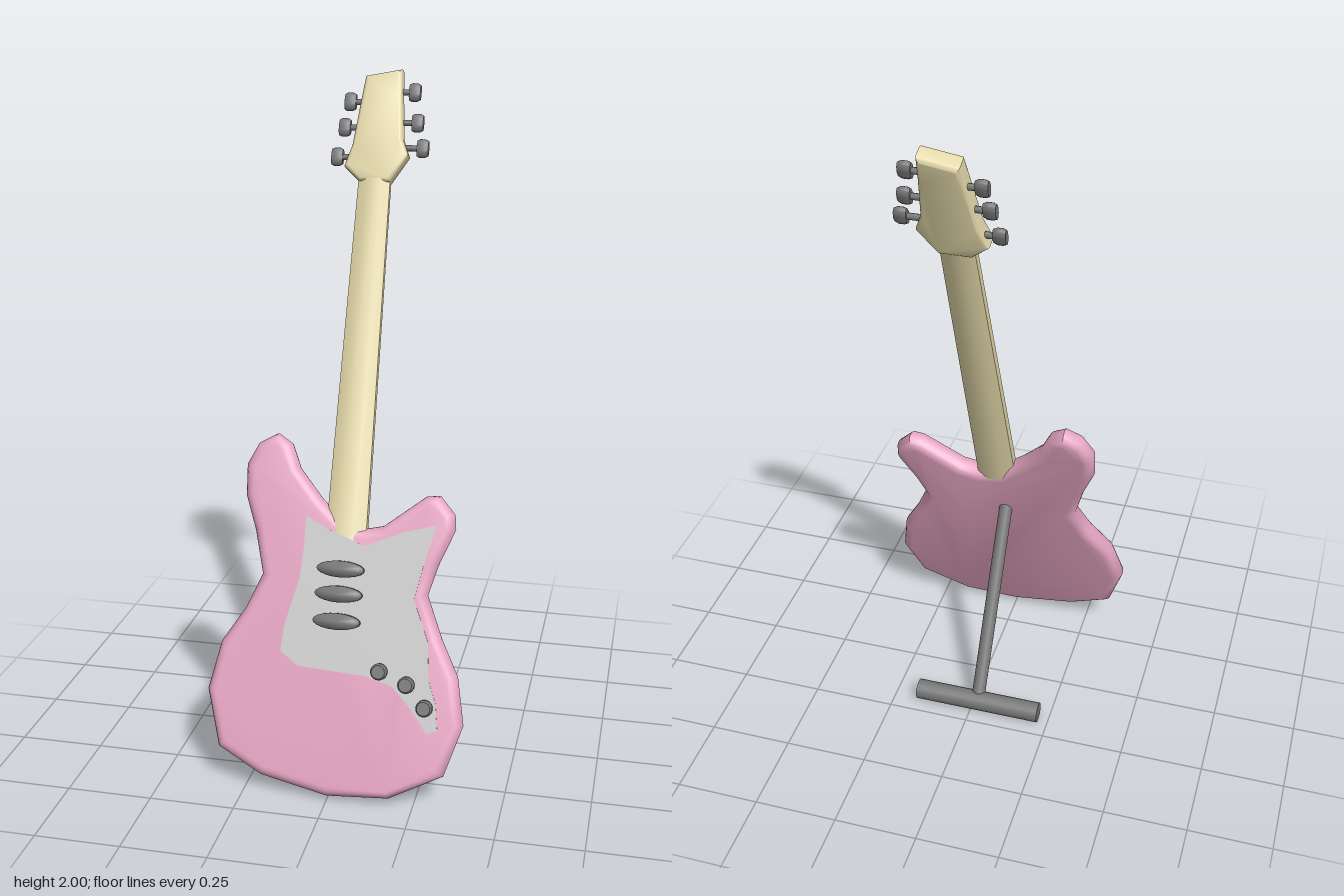
import * as THREE from 'three';
import { toCreasedNormals } from 'three/addons/utils/BufferGeometryUtils.js';

const TILT = 0.381, Y0 = 0.015, Z0 = 0.39;
const pink = new THREE.MeshStandardMaterial({ color: 0xe6a6c2 });
const cream = new THREE.MeshStandardMaterial({ color: 0xe4d9aa });
const dark = new THREE.MeshStandardMaterial({ color: 0x777777 });
const grey = new THREE.MeshStandardMaterial({ color: 0xcccccc });

// Height above the ground -> distance along the leaning guitar, at depth n
const along = (y, n = 0) => (y - Y0 - n * Math.sin(TILT)) / Math.cos(TILT);

function add(parent, name, geometry, material, x = 0, y = 0, z = 0) {
  const mesh = new THREE.Mesh(geometry, material);
  mesh.name = name;
  mesh.position.set(x, y, z);
  parent.add(mesh);
  return mesh;
}

// Plate from an outline of [x, height] points, with rounded rims, centred on depth n
function plate(points, n, thick, rim, inset) {
  const shape = new THREE.Shape(points.map(([x, y]) => new THREE.Vector2(x, along(y, n))));
  const depth = thick - 2 * rim;
  const geo = new THREE.ExtrudeGeometry(shape, {
    depth, bevelEnabled: rim > 0, bevelThickness: rim, bevelSize: inset,
    bevelOffset: -inset, bevelSegments: 5,
  });
  geo.translate(0, 0, n - depth / 2);
  return toCreasedNormals(geo, 0.75);
}

// Round button with softened rims, axis along +z, base at z = 0
function button(radius, height) {
  const p = [[0, 0], [0.85, 0], [1, 0.25], [1, 0.7], [0.8, 1], [0, 1]]
    .map(([r, h]) => new THREE.Vector2(r * radius, h * height));
  return toCreasedNormals(new THREE.LatheGeometry(p, 20).rotateX(Math.PI / 2), 0.7);
}

export function createModel() {
  const model = new THREE.Group();
  model.name = 'guitarOnStand';
  const guitar = new THREE.Group();
  guitar.name = 'guitar';
  guitar.position.set(0, Y0, Z0);
  guitar.rotation.x = -TILT;
  model.add(guitar);

  // Body with two horns
  add(guitar, 'body', plate([
    [-0.23, 0.976], [-0.285, 0.947], [-0.317, 0.886], [-0.312, 0.80], [-0.275, 0.706],
    [-0.243, 0.59], [-0.286, 0.495], [-0.35, 0.40], [-0.38, 0.267], [-0.333, 0.114],
    [-0.20, 0.05], [0, 0.013], [0.18, 0.024], [0.333, 0.098], [0.38, 0.235],
    [0.354, 0.362], [0.30, 0.458], [0.25, 0.57], [0.275, 0.653], [0.317, 0.75],
    [0.312, 0.79], [0.265, 0.838], [0.225, 0.833], [0.106, 0.745], [0.05, 0.733],
    [-0.01, 0.745], [-0.085, 0.81], [-0.155, 0.885], [-0.185, 0.95],
  ], 0, 0.066, 0.032, 0.03), pink);

  // Pickguard lying on the front of the body
  add(guitar, 'pickguard', plate([
    [-0.12, 0.77], [-0.12, 0.68], [-0.125, 0.60], [-0.16, 0.47], [-0.165, 0.40],
    [-0.11, 0.365], [0.09, 0.355], [0.17, 0.335], [0.23, 0.28], [0.28, 0.22],
    [0.31, 0.23], [0.30, 0.30], [0.275, 0.36], [0.265, 0.46], [0.215, 0.57],
    [0.235, 0.66], [0.265, 0.77], [0.17, 0.745], [0.06, 0.70], [-0.06, 0.74],
  ], 0.033, 0.003, 0, 0), grey);

  // Neck: tapered, flattened octagon
  const v0 = along(0.70), v1 = along(1.72);
  const neck = new THREE.CylinderGeometry(0.051, 0.065, v1 - v0, 8, 1);
  neck.rotateY(Math.PI / 8).scale(1, 1, 0.54);
  add(guitar, 'neck', toCreasedNormals(neck, 0.9), cream, -0.002, (v0 + v1) / 2, 0.002);

  // Headstock
  add(guitar, 'headstock', plate([
    [-0.046, 1.68], [-0.095, 1.72], [-0.075, 1.78], [-0.056, 1.93], [-0.05, 1.973],
    [0.058, 1.993], [0.063, 1.92], [0.075, 1.80], [0.095, 1.755], [0.045, 1.68],
  ], 0, 0.056, 0.014, 0.012), cream);

  // Tuning pegs, three on each side
  const pegs = [[-0.095, 1.905], [-0.106, 1.833], [-0.122, 1.75],
    [0.097, 1.935], [0.112, 1.85], [0.133, 1.78]];
  for (const [x, y] of pegs) {
    const peg = new THREE.Group();
    peg.name = 'tuningPeg';
    peg.position.set(0, along(y), -0.005);
    guitar.add(peg);
    const inner = Math.sign(x) * 0.04;
    const shaft = new THREE.CylinderGeometry(0.009, 0.009, Math.abs(x - inner), 10);
    add(peg, 'pegShaft', shaft.rotateZ(Math.PI / 2), dark, (x + inner) / 2);
    const knob = button(0.028, 0.034).translate(0, 0, -0.017).rotateY(Math.PI / 2);
    add(peg, 'pegKnob', knob.scale(1, 1, 0.55), dark, x);
  }

  // Pickups: long oval bars
  for (const y of [0.64, 0.573, 0.50]) {
    add(guitar, 'pickup', button(0.07, 0.032).scale(1, 0.34, 1), dark, -0.003, along(y, 0.05), 0.032);
  }

  // Control knobs
  for (const [x, y] of [[0.132, 0.378], [0.213, 0.35], [0.27, 0.294]]) {
    add(guitar, 'controlKnob', button(0.024, 0.032), dark, x, along(y, 0.05), 0.032);
  }

  // Stand: slanted leg with a crossbar foot
  const stand = new THREE.Group();
  stand.name = 'stand';
  model.add(stand);
  const top = new THREE.Vector3(-0.02, 0.59, 0.15), foot = new THREE.Vector3(-0.02, 0.035, -0.183);
  const dir = top.clone().sub(foot);
  const mid = top.clone().add(foot).multiplyScalar(0.5);
  const leg = add(stand, 'standLeg', new THREE.CylinderGeometry(0.021, 0.021, dir.length(), 16),
    dark, mid.x, mid.y, mid.z);
  leg.quaternion.setFromUnitVectors(new THREE.Vector3(0, 1, 0), dir.normalize());
  add(stand, 'standFoot', new THREE.CylinderGeometry(0.031, 0.031, 0.395, 16).rotateZ(Math.PI / 2),
    dark, -0.022, 0.035, -0.185);

  return model;
}
